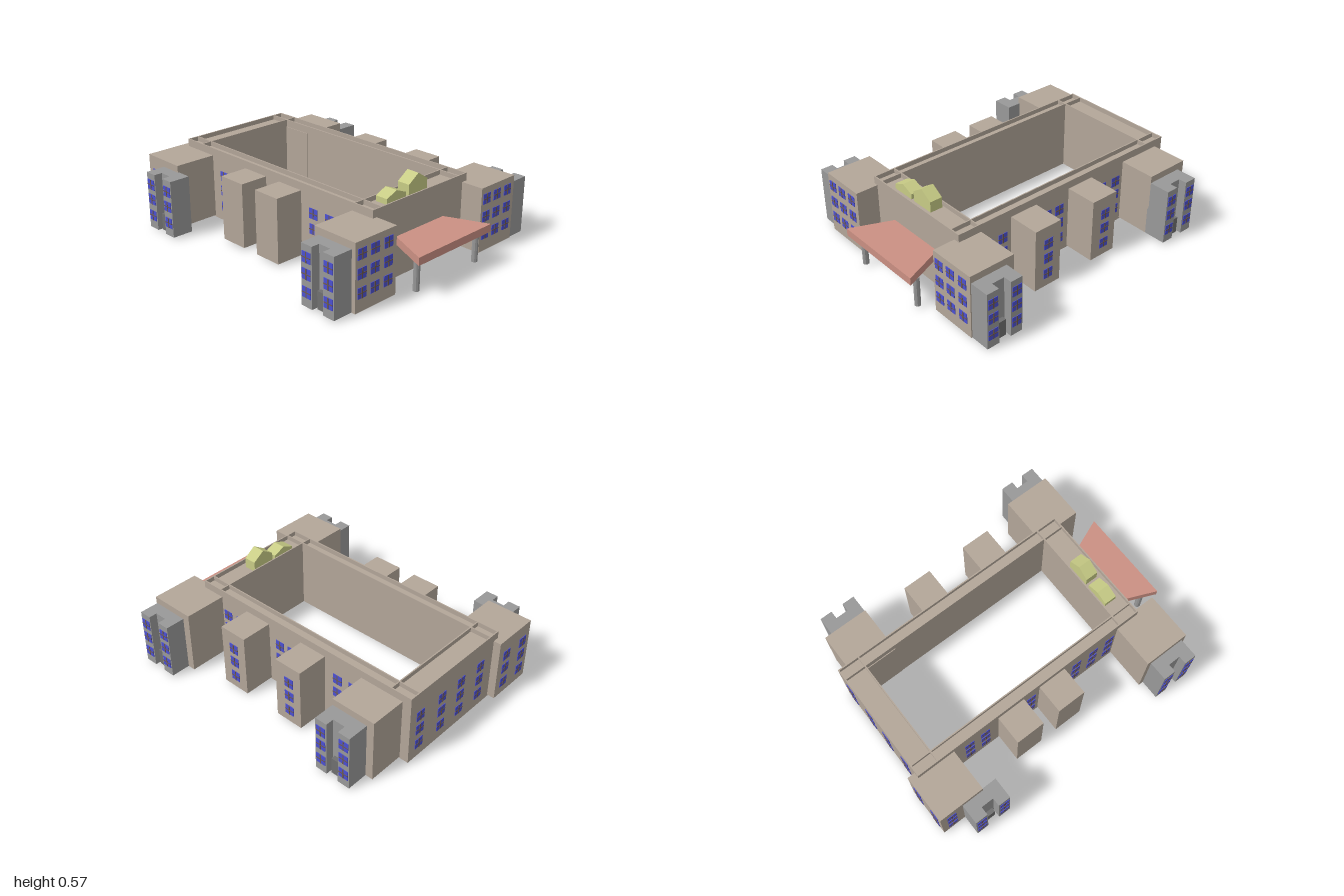
import * as THREE from 'three';

const mat = (color, extra = {}) => new THREE.MeshStandardMaterial({ color, ...extra });

export function createModel() {
  const model = new THREE.Group();
  const wall = mat(0xb3a699), grey = mat(0x999999), blue = mat(0x4c50d2);
  const brown = mat(0x6e5a4c), red = mat(0xcb9083), yellow = mat(0xc8cc86), dark = mat(0x707070);

  const add = (name, geometry, material, parent = model) => {
    const mesh = new THREE.Mesh(geometry, material);
    mesh.name = name;
    parent.add(mesh);
    return mesh;
  };
  // box given by its limits
  const box = (name, x0, x1, y0, y1, z0, z1, material, parent) => {
    const m = add(name, new THREE.BoxGeometry(x1 - x0, y1 - y0, z1 - z0), material, parent);
    m.position.set((x0 + x1) / 2, (y0 + y1) / 2, (z0 + z1) / 2);
    return m;
  };
  // plan outline, listed as [x, z], raised from y0 to y1
  const plan = (points, y0, y1, hole) => {
    const toVec = p => new THREE.Vector2(p[0], -p[1]);
    const shape = new THREE.Shape(points.map(toVec));
    if (hole) shape.holes.push(new THREE.Path(hole.map(toVec)));
    const g = new THREE.ExtrudeGeometry(shape, { depth: y1 - y0, bevelEnabled: false });
    return g.rotateX(-Math.PI / 2).translate(0, y0, 0);
  };
  const rect = (x0, x1, z0, z1) => [[x0, z0], [x0, z1], [x1, z1], [x1, z0]];

  // main ring around the open courtyard
  const X0 = -0.95, X1 = 0.73, Z0 = -0.42, Z1 = 0.4;
  const x0 = -0.8, x1 = 0.58, z0 = -0.34, z1 = 0.32;
  const roof = 0.45, top = 0.48, t = 0.008;
  add('courtyardBuilding', plan(rect(X0, X1, Z0, Z1), 0, roof, rect(x0, x1, z0, z1)), wall);

  // thin parapets along both edges of the roof
  for (const x of [X0, x0 - t, x1, X1 - t])
    box('sideParapet', x, x + t, roof, top, Z0, Z1, wall);
  for (const z of [Z0, z0 - t, z1, Z1 - t])
    box('longParapet', X0 + t, X1 - t, roof, top, z, z + t, wall);

  // corner blocks
  box('frontRightBlock', -1, -0.69, 0.01, 0.43, 0.36, 0.68, wall);
  box('frontLeftBlock', 0.57, 0.88, 0.01, 0.43, 0.37, 0.69, wall);
  box('backLeftBlock', 0.57, 0.88, 0.01, 0.43, -0.7, -0.38, wall);
  box('backRightBlock', -0.89, -0.59, 0.01, 0.43, -0.66, -0.335, wall);

  // projecting bays
  for (const x of [-0.36, -0.045]) box('frontBay', x, x + 0.195, 0.01, 0.43, 0.39, 0.59, wall);
  for (const x of [-0.31, 0.15]) box('backBay', x, x + 0.195, 0.01, 0.43, -0.63, -0.41, wall);

  // windows: angle turns the pane from facing +z
  const paneGeo = new THREE.BoxGeometry(0.066, 0.066, 0.008);
  const barV = new THREE.BoxGeometry(0.008, 0.066, 0.012);
  const barH = new THREE.BoxGeometry(0.066, 0.006, 0.012);
  const windowColumn = (x, z, angle, heights = [0.31, 0.21, 0.1]) => {
    for (const y of heights) {
      const w = new THREE.Group();
      w.name = 'window';
      add('pane', paneGeo, blue, w);
      add('uprightBar', barV, brown, w);
      add('crossBar', barH, brown, w);
      w.position.set(x, y, z);
      w.rotation.y = angle;
      model.add(w);
    }
  };
  const FRONT = 0, BACK = Math.PI, LEFT = Math.PI / 2, RIGHT = -Math.PI / 2;
  for (const x of [-0.58, -0.46, -0.105, 0.255, 0.39, 0.52]) windowColumn(x, Z1, FRONT);
  for (const x of [-0.53, -0.41, -0.04, 0.06, 0.41, 0.52]) windowColumn(x, Z0, BACK);
  for (const x of [-0.22, 0.245]) windowColumn(x, -0.63, BACK);
  for (const z of [-0.33, -0.13, 0.05, 0.24]) windowColumn(X0, z, RIGHT);
  for (const z of [0.44, 0.61]) windowColumn(-1, z, RIGHT);
  windowColumn(-0.925, 0.68, FRONT);
  for (const z of [0.435, 0.54, 0.64, -0.43, -0.53, -0.635])
    windowColumn(0.88, z, LEFT, [0.355, 0.24, 0.124]);

  // grey stair towers with a recessed doorway; s is the outward direction in z
  const tower = (cx, zIn, zOut) => {
    const s = Math.sign(zOut), w = 0.125, n = 0.042, zn = zOut - s * 0.055;
    let pts = [[-w, zIn], [-w, zOut], [-n, zOut], [-n, zn], [n, zn], [n, zOut], [w, zOut], [w, zIn]];
    pts = pts.map(([x, z]) => [cx + x, z]);
    add('stairTower', plan(pts, 0.01, 0.385), grey);
    const zd = zOut - s * 0.027;
    box('doorPorch', cx - 0.03, cx + 0.03, 0.01, 0.12, Math.min(zn, zd), Math.max(zn, zd), dark);
    for (const d of [-1, 1]) windowColumn(cx + d * 0.084, zOut, s > 0 ? FRONT : BACK);
  };
  tower(-0.715, 0.67, 0.81);
  tower(0.728, 0.68, 0.82);
  tower(0.748, -0.69, -0.83);
  tower(-0.715, -0.65, -0.8);

  // entrance canopy on two posts
  add('canopy', plan([[X1, -0.21], [X1, 0.205], [1, 0.32], [1, -0.32]], 0.21, 0.26), red);
  for (const z of [0.252, -0.275]) {
    const post = add('canopyPost', new THREE.CylinderGeometry(0.02, 0.02, 0.2, 10),
      mat(0x999999, { flatShading: true }));
    post.position.set(0.93, 0.11, z);
  }

  // gabled skylights on the entrance roof, ridge along x
  const skylight = (zc, eaves, peak) => {
    const h = 0.08;
    const shape = new THREE.Shape([[-h, roof], [h, roof], [h, eaves], [0, peak], [-h, eaves]]
      .map(p => new THREE.Vector2(p[0], p[1])));
    const g = new THREE.ExtrudeGeometry(shape, { depth: 0.085, bevelEnabled: false });
    add('skylight', g.rotateY(Math.PI / 2).translate(0.6, 0, zc), yellow);
  };
  skylight(-0.025, 0.52, 0.573);
  skylight(0.16, 0.485, 0.518);

  return model;
}
